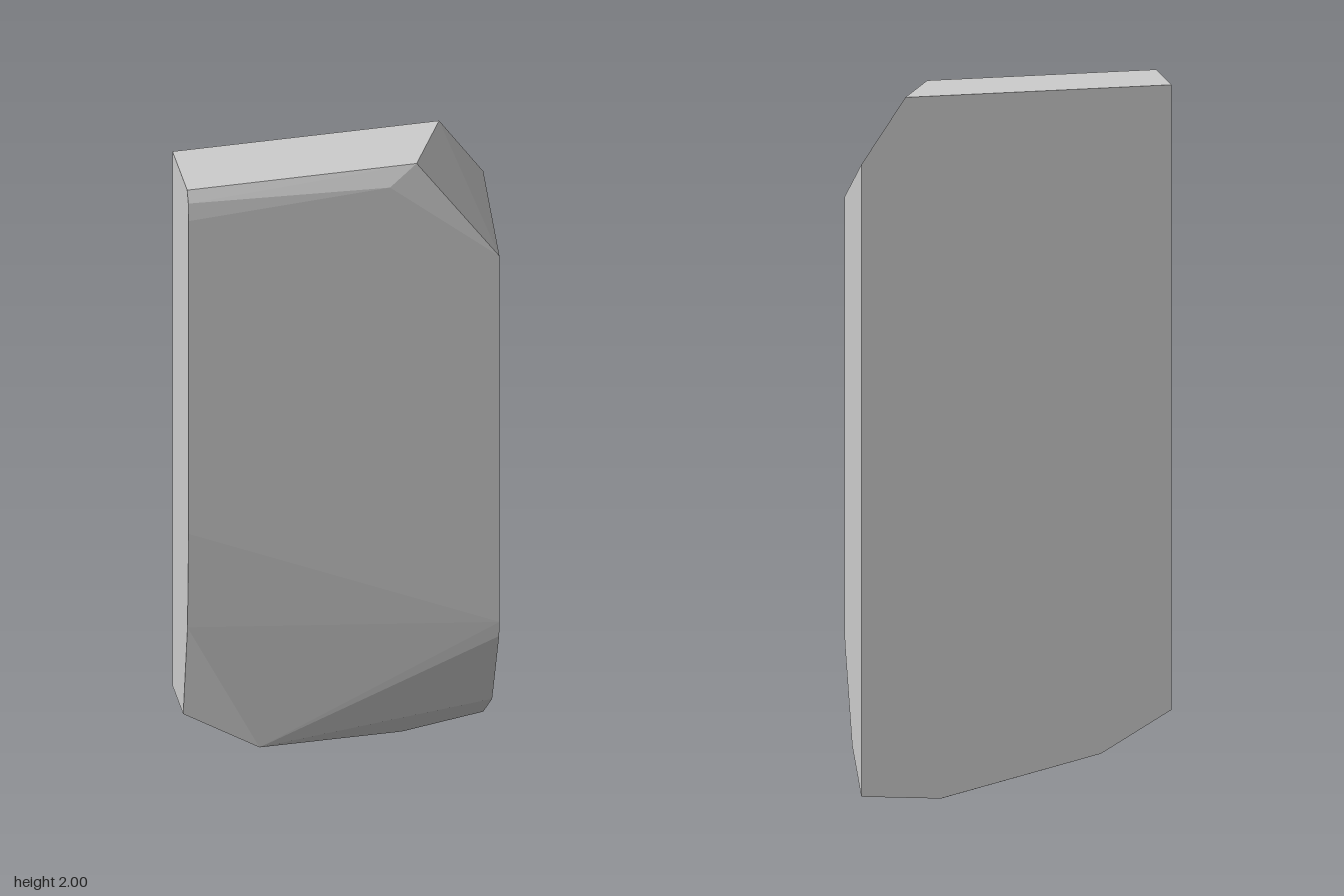
import * as THREE from 'three';
import { ConvexGeometry } from 'three/addons/geometries/ConvexGeometry.js';

// Faceted stone slab: flat back and sides, one cut top corner, chipped bottom
export function createModel() {
  const group = new THREE.Group();
  group.name = 'stoneSlab';

  const stone = new THREE.MeshStandardMaterial({ color: 0xcccccc });
  stone.name = 'stone grey';

  const W = 0.44; // half width
  const B = -0.11; // back plane

  // flat back outline
  const back = [
    [-W, 2, B], [0.315, 2, B], [W, 1.815, B], [W, 0.02, B],
    [0.215, 0.004, B], [-0.24, 0.11, B], [-W, 0.225, B],
  ];
  // right-hand rim (model's -x), bottom to top
  const minusRim = [
    [-W, 0.225, 0.035], [-W, 0.55, 0.093], [-W, 0.87, 0.108],
    [-W, 1.91, 0.109], [-W, 1.965, 0.104], [-W, 2, 0.089],
  ];
  // left-hand rim (model's +x), bottom to top
  const plusRim = [
    [W, 0.14, 0.01], [W, 0.41, 0.105], [W, 0.46, 0.11], [W, 1.675, 0.11],
  ];
  // corner cut and chipped base
  const chips = [
    [0.13, 1.945, 0.11], [0.21, 2, 0.088],
    [-0.23, 0.105, 0.065], [0.205, 0, -0.088],
  ];

  const points = [...back, ...minusRim, ...plusRim, ...chips].map((p) => new THREE.Vector3(...p));
  const slab = new THREE.Mesh(new ConvexGeometry(points), stone);
  slab.name = 'slab';
  group.add(slab);
  return group;
}
